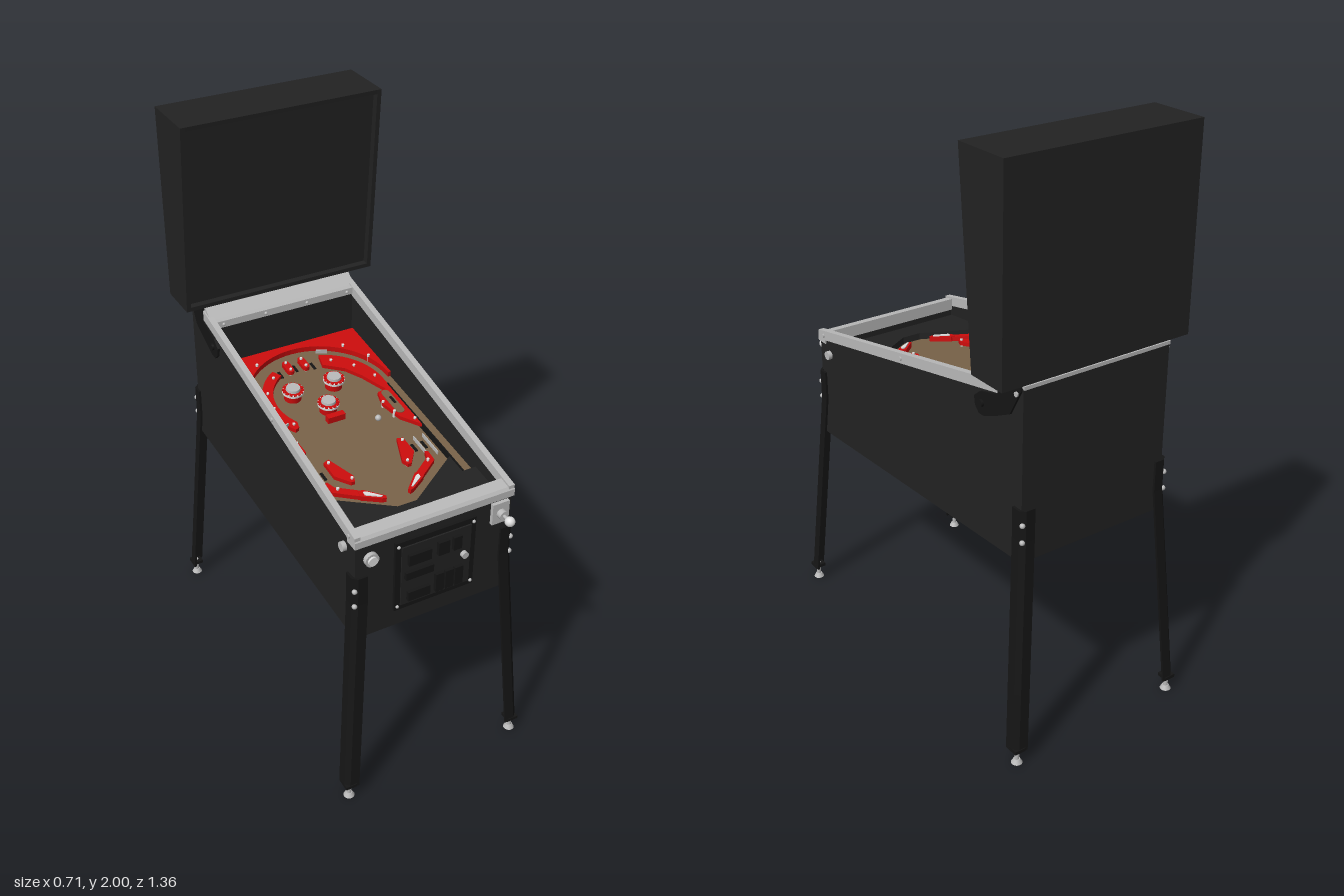
import * as THREE from 'three';

const paint = (name, color) => {
  const m = new THREE.MeshStandardMaterial({ color });
  m.name = name;
  return m;
};
const black = paint('cabinetBlack', 0x222222);
const dark = paint('legBlack', 0x151515);
const metal = paint('metalTrim', 0xb9b9b9);
const red = paint('red', 0xcc0c0c);
const wood = paint('wood', 0x786248);
const white = paint('white', 0xdedede);

function add(parent, name, geo, mat, x = 0, y = 0, z = 0) {
  const m = new THREE.Mesh(geo, mat);
  m.name = name;
  m.position.set(x, y, z);
  parent.add(m);
  return m;
}
const box = (w, h, d) => new THREE.BoxGeometry(w, h, d);
const ball = (r) => new THREE.SphereGeometry(r, 16, 10);
const cyl = (r, h, r2 = r) => new THREE.CylinderGeometry(r, r2, h, 20);
const cylX = (r, h) => cyl(r, h).rotateZ(Math.PI / 2);
const cylZ = (r, h) => cyl(r, h).rotateX(Math.PI / 2);
const shapeOf = (pts) => new THREE.Shape(pts.map(([a, b]) => new THREE.Vector2(a, b)));

// Side outline given as [z, y], extruded from x0 to x1
const profile = (pts, x0, x1) =>
  new THREE.ExtrudeGeometry(shapeOf(pts.map(([z, y]) => [-z, y])), { depth: x1 - x0, bevelEnabled: false })
    .rotateY(Math.PI / 2).translate(x0, 0, 0);
// Flat outline given as [x, z], extruded upwards from y0
const plate = (pts, y0, h) =>
  new THREE.ExtrudeGeometry(shapeOf(pts.map(([x, z]) => [x, -z])), { depth: h, bevelEnabled: false })
    .rotateX(-Math.PI / 2).translate(0, y0, 0);
// Points along an arc, degrees measured from +x towards the back
function arc(cx, cz, r, a0, a1, n = 20) {
  return Array.from({ length: n + 1 }, (_, i) => {
    const a = THREE.MathUtils.degToRad(a0 + (a1 - a0) * i / n);
    return [cx + r * Math.cos(a), cz - r * Math.sin(a)];
  });
}
const capsule = (x, z, w, l) => {
  const r = w / 2, k = l / 2 - r;
  return [...arc(x, z - k, r, 0, 180, 8), ...arc(x, z + k, r, 180, 360, 8)];
};

function buildCabinet(root) {
  const g = new THREE.Group();
  g.name = 'cabinet';
  root.add(g);
  const side = [[0.6, 0.655], [0.6, 1.035], [-0.49, 1.26], [-0.5, 1.31], [-0.605, 1.31], [-0.605, 0.72]];
  const rail = [[0.605, 1.03], [0.605, 1.066], [-0.5, 1.292], [-0.5, 1.255]];
  for (const s of [-1, 1]) {
    const span = (a, b) => (s > 0 ? [a, b] : [-b, -a]);
    add(g, 'sidePanel', profile(side, ...span(0.265, 0.28)), black);
    add(g, 'sideRail', profile(rail, ...span(0.264, 0.285)), metal);
    const hinge = [[-0.37, 1.2], [-0.375, 1.17], [-0.395, 1.15], [-0.42, 1.15], [-0.49, 1.18], [-0.55, 1.21],
      [-0.6, 1.3], [-0.6, 1.315], [-0.49, 1.315], [-0.49, 1.25], [-0.4, 1.225]];
    add(g, 'hingeBracket', profile(hinge, ...span(0.279, 0.288)), dark);
    add(g, 'hingeBolt', cylX(0.012, 0.014), dark, s * 0.289, 1.19, -0.41);
    add(g, 'hingeBolt', cylX(0.008, 0.014), metal, s * 0.287, 1.29, -0.585);
    add(g, 'flipperButton', cylX(0.016, 0.02), metal, s * 0.285, 0.99, 0.535);
    for (const z of [0.57, 0.05]) add(g, 'railScrew', cylX(0.007, 0.012), metal, s * 0.284, 1.048 + (0.6 - z) * 0.205, z);
  }
  add(g, 'frontPanel', box(0.53, 0.38, 0.03), black, 0, 0.845, 0.585);
  add(g, 'backPanel', box(0.53, 0.59, 0.02), black, 0, 1.015, -0.595);
  add(g, 'floor', profile([[0.6, 0.655], [0.6, 0.67], [-0.6, 0.735], [-0.6, 0.72]], -0.265, 0.265), black);
  add(g, 'innerBackWall', box(0.53, 0.25, 0.02), black, 0, 1.135, -0.435);
  // Front lock bar and the sloping metal neck under the head
  add(g, 'lockBar', profile([[0.56, 1.025], [0.608, 1.025], [0.608, 1.05], [0.6, 1.06], [0.56, 1.068]], -0.285, 0.285), metal);
  add(g, 'neckLip', box(0.53, 0.025, 0.025), metal, 0, 1.262, -0.43);
  add(g, 'neckPanel', profile([[-0.435, 1.25], [-0.435, 1.272], [-0.5, 1.32], [-0.61, 1.32], [-0.61, 1.308], [-0.5, 1.308]], -0.28, 0.28), metal);
  for (const x of [-0.24, -0.08, 0.08, 0.24]) add(g, 'neckScrew', ball(0.006), metal, x, 1.262, -0.417);
}

function buildFront(root) {
  const g = new THREE.Group();
  g.name = 'frontFittings';
  root.add(g);
  add(g, 'coinDoorFrame', box(0.29, 0.27, 0.012), dark, 0, 0.86, 0.605);
  add(g, 'coinDoor', box(0.25, 0.23, 0.01), black, 0, 0.86, 0.611);
  // Each fitting: x, y, width, height
  for (const [x, y, w, h] of [[-0.065, 0.925, 0.08, 0.04], [0.02, 0.93, 0.04, 0.05], [0.07, 0.93, 0.03, 0.05],
    [-0.065, 0.865, 0.1, 0.028], [-0.065, 0.78, 0.08, 0.035], [0.01, 0.795, 0.03, 0.07], [0.045, 0.795, 0.03, 0.07],
    [0.08, 0.795, 0.03, 0.07]]) add(g, 'coinFitting', box(w, h, 0.016), dark, x, y, 0.621);
  add(g, 'doorLock', cylZ(0.012, 0.02), metal, 0.1, 0.868, 0.62);
  for (const x of [-0.135, 0.135]) for (const y of [0.74, 0.98]) add(g, 'doorBolt', ball(0.006), metal, x, y, 0.612);
  add(g, 'startButton', cylZ(0.024, 0.018), metal, -0.228, 0.968, 0.606);
  add(g, 'startButtonCap', cylZ(0.016, 0.008), white, -0.228, 0.968, 0.618);
  add(g, 'plungerPlate', box(0.062, 0.078, 0.014), metal, 0.235, 0.977, 0.606);
  add(g, 'plungerCollar', cylZ(0.016, 0.02), metal, 0.235, 0.977, 0.622);
  add(g, 'plungerRod', cylZ(0.006, 0.06), metal, 0.235, 0.977, 0.635);
  add(g, 'plungerKnob', ball(0.017), white, 0.235, 0.977, 0.663);
}

function buildLegs(root) {
  for (const sx of [-1, 1]) for (const sz of [-1, 1]) {
    const g = new THREE.Group();
    g.name = sz > 0 ? 'frontLeg' : 'backLeg';
    root.add(g);
    const cx = 0.291, cz = sz > 0 ? 0.613 : 0.622;
    const splay = (y) => Math.max(0, 0.8 - y) * 0.07;
    // Angle steel with a chamfered corner, splayed outwards below the cabinet
    const section = [[-0.05, 0], [-0.016, 0], [0, -0.016], [0, -0.05], [-0.008, -0.05], [-0.008, -0.02], [-0.02, -0.008], [-0.05, -0.008]];
    const geo = plate(section.map(([u, w]) => [sx * u, sz * w]), 0, 0);
    geo.dispose();
    const leg = new THREE.ExtrudeGeometry(shapeOf(section.map(([u, w]) => [sx * (cx + u), -sz * (cz + w)])),
      { depth: 0.86, steps: 8, bevelEnabled: false }).rotateX(-Math.PI / 2).translate(0, 0.05, 0);
    const p = leg.attributes.position;
    for (let i = 0; i < p.count; i++) {
      const k = splay(p.getY(i));
      p.setX(i, p.getX(i) + sx * k);
      p.setZ(i, p.getZ(i) + sz * k);
    }
    leg.computeVertexNormals();
    add(g, 'legAngle', leg, dark);
    const fx = sx * 0.323, fz = sz * (cz + 0.034);
    add(g, 'footBracket', box(0.04, 0.012, 0.04), dark, fx, 0.056, fz);
    add(g, 'footStem', cyl(0.008, 0.06), metal, fx, 0.035, fz);
    add(g, 'footPad', cyl(0.011, 0.015, 0.019), metal, fx, 0.0075, fz);
    for (const y of [0.8, 0.86]) add(g, 'legBolt', ball(0.009), metal, sx * (cx - 0.007), y, sz * (cz - 0.007));
  }
}

function buildHead(root) {
  const g = new THREE.Group();
  g.name = 'head';
  root.add(g);
  const outline = (d) => [[-0.455 - d, 1.32], [-0.395 - d, 2], [-0.605, 2], [-0.605, 1.32]];
  add(g, 'headBody', profile(outline(0.025), -0.342, 0.342), black);
  for (const x of [-0.357, 0.342]) add(g, 'headSide', profile(outline(0), x, x + 0.015), black);
  // Top and bottom strips closing the raised frame
  add(g, 'headTopStrip', profile([[-0.3965, 1.985], [-0.395, 2], [-0.43, 2], [-0.43, 1.985]], -0.342, 0.342), black);
  add(g, 'headBottomStrip', profile([[-0.455, 1.32], [-0.4537, 1.335], [-0.49, 1.335], [-0.49, 1.32]], -0.342, 0.342), black);
}

function buildPlayfield(root) {
  const g = new THREE.Group();
  g.name = 'playfield';
  g.position.y = 1.04;
  g.rotation.x = 0.11;
  root.add(g);
  const mid = -0.024;
  const flip = (pts) => pts.map(([x, z]) => [2 * mid - x, z]);
  const top = 0.02;
  add(g, 'board', box(0.53, 0.012, 1.0), wood, 0, -0.006, 0.07);
  add(g, 'apron', plate([[-0.265, 0.335], [-0.057, 0.47], [0.012, 0.47], [0.215, 0.335], [0.215, 0.415],
    [0.265, 0.415], [0.265, 0.565], [-0.265, 0.565]], 0, 0.024), black);
  // Red surround with the arched opening, and the raised red panels
  add(g, 'archSurround', plate([[0.265, -0.424], [0.265, -0.14], ...arc(0, -0.14, 0.255, 0, 180, 32), [-0.255, -0.02],
    [-0.205, 0.0], [-0.2, 0.12], [-0.265, 0.165], [-0.265, -0.424]], 0, top), red);
  add(g, 'leftArcPanel', plate([...arc(0, -0.12, 0.22, 122, 215), [-0.165, 0.0], ...arc(0, -0.12, 0.183, 210, 122)], 0.008, 0.014), red);
  add(g, 'rightArcPanel', plate([...arc(0, -0.12, 0.22, 70, 0), [0.222, 0.16], [0.17, 0.09], [0.15, 0.0], [0.165, -0.055],
    [0.2, -0.06], [0.16, -0.16], [0.125, -0.22], [0.062, -0.27]], 0.008, 0.014), red);
  add(g, 'rightLaneInset', plate(capsule(0.187, 0.01, 0.03, 0.13), 0.02, 0.004), wood);
  add(g, 'laneDivider', box(0.004, 0.025, 0.5), dark, 0.22, 0.0125, 0.165);
  for (const x of [-0.053, 0.007]) add(g, 'topLaneGuide', plate(capsule(x, -0.31, 0.026, 0.065), 0.008, 0.014), red);
  add(g, 'centreTarget', box(0.065, 0.024, 0.022), red, mid, 0.012, -0.008);
  // Slingshots, flipper guides and flippers
  const sling = [[-0.172, 0.19], [-0.152, 0.183], [-0.114, 0.285], [-0.122, 0.31], [-0.135, 0.31], [-0.172, 0.262]];
  const guide = [[-0.215, 0.28], [-0.205, 0.275], [-0.195, 0.305], [-0.125, 0.355], [-0.135, 0.38], [-0.212, 0.325]];
  const flipper = [[-0.137, 0.355], [-0.12, 0.355], [-0.064, 0.41], [-0.068, 0.42], [-0.082, 0.416], [-0.14, 0.38]];
  const bat = [[-0.125, 0.368], [-0.115, 0.37], [-0.076, 0.408], [-0.082, 0.41], [-0.126, 0.382]];
  for (const f of [(q) => q, flip]) {
    add(g, 'slingshot', plate(f(sling), 0.008, 0.014), red);
    add(g, 'flipperGuide', plate(f(guide), 0.004, 0.016), red);
    add(g, 'flipper', plate(f(flipper), 0.004, 0.018), red);
    add(g, 'flipperTop', plate(f(bat), 0.022, 0.004), white);
  }
  // Pop bumpers with red points around the cap
  for (const [x, z] of [[-0.104, -0.17], [0.054, -0.17], [mid, -0.062]]) {
    const b = new THREE.Group();
    b.name = 'bumper';
    b.position.set(x, 0, z);
    g.add(b);
    add(b, 'bumperBase', cyl(0.03, 0.03), red, 0, 0.015, 0);
    add(b, 'bumperSkirt', cyl(0.038, 0.008), white, 0, 0.032, 0);
    for (let i = 0; i < 14; i++) {
      add(b, 'bumperPoint', plate([[0.02, -0.006], [0.037, -0.005], [0.037, 0.005], [0.02, 0.006]], 0.036, 0.003), red)
        .rotation.y = i * Math.PI / 7;
    }
    add(b, 'bumperCap', cyl(0.024, 0.012, 0.026), metal, 0, 0.042, 0);
  }
  // Rollover slots and the small posts
  for (const [x, z] of [[-0.23, 0.23], [-0.193, 0.23], [0.145, 0.23], [0.183, 0.23], [-0.087, -0.3], [mid, -0.312],
    [0.04, -0.3], [0.19, 0.005]]) add(g, 'rolloverSlot', box(0.009, 0.005, 0.036), dark, x, z < 0.1 && z > 0 ? 0.024 : 0.001, z);
  add(g, 'topGate', box(0.04, 0.015, 0.005), metal, 0.1, 0.012, -0.352).rotation.y = -0.4;
  add(g, 'leftGate', box(0.045, 0.015, 0.005), metal, -0.215, 0.025, -0.015).rotation.y = 0.4;
  for (const x of [-0.238, -0.21, 0.165, 0.2]) add(g, 'laneWire', box(0.003, 0.014, 0.1), metal, x, 0.007, 0.24);
  for (const [x, z] of [[-0.24, -0.33], [-0.23, -0.26], [-0.15, -0.36], [0.18, -0.34], [0.235, -0.25], [-0.2, -0.12],
    [-0.185, -0.2], [-0.13, -0.27], [-0.175, -0.02], [-0.21, 0.07], [-0.23, 0.13], [0.1, -0.28], [0.16, -0.22],
    [0.2, -0.14], [0.155, 0.0], [0.165, 0.06], [0.21, 0.12], [-0.16, 0.2], [-0.125, 0.295], [0.115, 0.2], [0.08, 0.295],
    [-0.053, -0.33], [-0.053, -0.29], [0.007, -0.33], [0.007, -0.29], [-0.19, 0.32], [0.142, 0.32]])
    add(g, 'post', cyl(0.005, 0.028), white, x, 0.014, z);
  add(g, 'ball', ball(0.011), metal, 0.106, 0.011, 0.055);
}

export function createModel() {
  const root = new THREE.Group();
  root.name = 'pinballTable';
  buildCabinet(root);
  buildFront(root);
  buildLegs(root);
  buildHead(root);
  buildPlayfield(root);
  return root;
}
